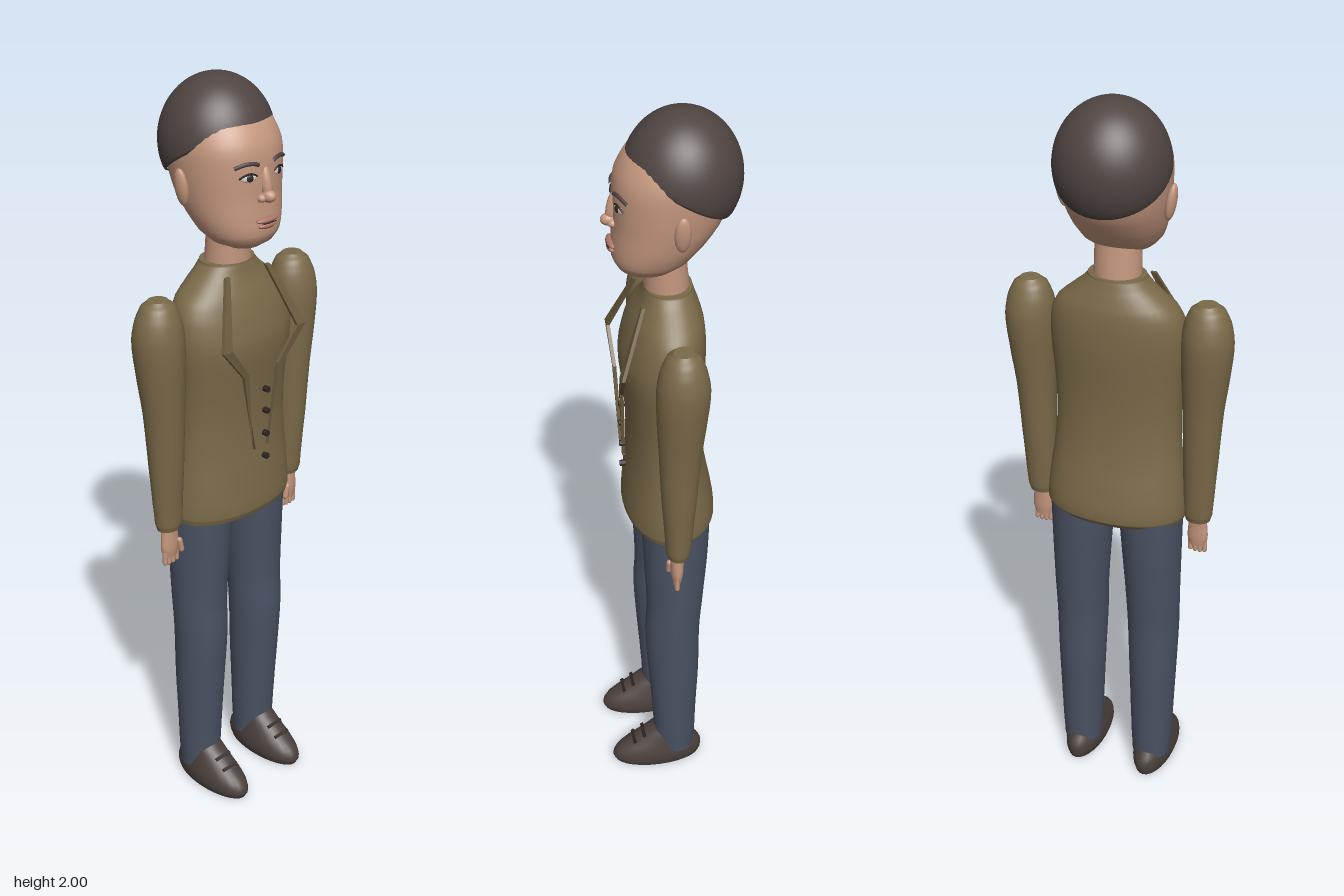
import * as THREE from 'three';

const mat = (name, color) => Object.assign(new THREE.MeshStandardMaterial({ color }), { name });

// Cubic interpolation of one number between p1 and p2
const cubic = (p0, p1, p2, p3, t) => {
  const a = (p2 - p0) / 2, b = (p3 - p1) / 2;
  return (2 * p1 - 2 * p2 + a + b) * t ** 3 + (-3 * p1 + 3 * p2 - 2 * a - b) * t * t + a * t + p1;
};

// Closed smooth body through rings [y, centreX, radiusX, frontZ, backZ], listed from low to high
function loft(rings, { sides = 32, steps = 3, power = 2 } = {}) {
  const at = i => rings[Math.max(0, Math.min(rings.length - 1, i))];
  const fine = [];
  for (let i = 0; i < rings.length - 1; i++)
    for (let s = 0; s < steps; s++)
      fine.push(at(i).map((v, k) => k === 0
        ? v + (at(i + 1)[0] - v) * s / steps
        : cubic(at(i - 1)[k], v, at(i + 1)[k], at(i + 2)[k], s / steps)));
  fine.push(at(rings.length - 1));
  const pos = [], index = [];
  const soft = v => Math.sign(v) * Math.abs(v) ** (2 / power);
  const addRing = ([y, cx, rx, zf, zb]) => {
    for (let i = 0; i < sides; i++) {
      const a = i / sides * Math.PI * 2;
      pos.push(cx + rx * soft(Math.sin(a)), y, (zf + zb) / 2 + (zf - zb) / 2 * soft(Math.cos(a)));
    }
  };
  fine.forEach(addRing);
  for (let j = 0; j < fine.length - 1; j++)
    for (let i = 0; i < sides; i++) {
      const a = j * sides + i, b = j * sides + (i + 1) % sides;
      index.push(a, b, b + sides, a, b + sides, a + sides);
    }
  // Flat end caps with their own vertices
  for (const top of [false, true]) {
    const r = top ? fine[fine.length - 1] : fine[0], start = pos.length / 3;
    addRing(r);
    pos.push(r[1], r[0], (r[3] + r[4]) / 2);
    for (let i = 0; i < sides; i++) {
      const a = start + i, b = start + (i + 1) % sides, c = start + sides;
      index.push(...(top ? [c, a, b] : [c, b, a]));
    }
  }
  const g = new THREE.BufferGeometry();
  g.setAttribute('position', new THREE.Float32BufferAttribute(pos, 3));
  g.setIndex(index);
  g.computeVertexNormals();
  return g;
}

// Hair cap: an ellipsoid that ends on a slanted hairline
function hairCap() {
  const A = 0.16, R = 0.143, slope = 0.62, cy = 1.84, cz = -0.035;
  const g = new THREE.SphereGeometry(1, 48, 24), p = g.attributes.position, uv = g.attributes.uv;
  for (let i = 0; i < p.count; i++) {
    const phi = uv.getX(i) * Math.PI * 2, B = slope * R * Math.cos(phi);
    const end = Math.acos(-0.0277 / Math.hypot(A, B)) - Math.atan2(B, A);
    const v = 1 - uv.getY(i), inner = Math.max(0, v - 0.9) * 0.8;
    const th = end * Math.min(1, v / 0.9), k = 1 - inner;
    p.setXYZ(i, R * k * Math.sin(th) * Math.sin(phi), cy + A * k * Math.cos(th), cz + R * k * Math.sin(th) * Math.cos(phi));
  }
  // The azimuth runs from front to +x, opposite to the sphere's own order
  g.computeVertexNormals();
  return g;
}

export function createModel() {
  const model = new THREE.Group();
  const skin = mat('skin', 0xc4977e), hair = mat('hair', 0x4f4542), coat = mat('coat', 0x7b6a49);
  const lapelMat = mat('lapel', 0x6d5d40), denim = mat('trousers', 0x4a5263), leather = mat('shoe leather', 0x4b413d);
  const dark = mat('dark detail', 0x2e2624), white = mat('eye white', 0xd8cfc6), lip = mat('lips', 0xad7768);

  const add = (name, geo, material, x = 0, y = 0, z = 0, parent = model) => {
    const m = new THREE.Mesh(geo, material);
    m.name = name;
    m.position.set(x, y, z);
    parent.add(m);
    return m;
  };
  const blob = (name, material, x, y, z, rx, ry, rz) => {
    const m = add(name, new THREE.SphereGeometry(1, 20, 14), material, x, y, z);
    m.scale.set(rx, ry, rz);
    return m;
  };

  // Head and neck
  add('neck', loft([[1.5, 0, 0.062, 0.058, -0.056], [1.58, 0, 0.06, 0.058, -0.05], [1.67, 0, 0.06, 0.06, -0.042]]), skin);
  add('head', loft([
    [1.6, 0, 0.045, 0.1, 0.01], [1.615, 0, 0.077, 0.122, -0.02], [1.64, 0, 0.1, 0.135, -0.055],
    [1.68, 0, 0.116, 0.135, -0.09], [1.73, 0, 0.127, 0.131, -0.125], [1.79, 0, 0.134, 0.131, -0.148],
    [1.85, 0, 0.135, 0.126, -0.16], [1.9, 0, 0.118, 0.1, -0.15], [1.94, 0, 0.08, 0.06, -0.11],
  ], { power: 2.15, sides: 40 }), skin);
  add('hair', hairCap(), hair);

  // Face
  blob('noseBridge', skin, 0, 1.768, 0.13, 0.014, 0.045, 0.015).rotation.x = -0.2;
  blob('noseTip', skin, 0, 1.737, 0.138, 0.016, 0.016, 0.022);
  blob('upperLip', lip, 0, 1.678, 0.135, 0.034, 0.008, 0.012);
  blob('lowerLip', lip, 0, 1.665, 0.135, 0.028, 0.009, 0.012);
  blob('mouthLine', dark, 0, 1.672, 0.144, 0.026, 0.0015, 0.003);
  for (const s of [1, -1]) {
    blob('nostril', skin, s * 0.016, 1.733, 0.132, 0.011, 0.01, 0.012);
    blob('eyeWhite', white, s * 0.05, 1.787, 0.122, 0.021, 0.01, 0.005).rotation.y = s * 0.35;
    blob('iris', dark, s * 0.049, 1.787, 0.126, 0.009, 0.009, 0.0035).rotation.y = s * 0.35;
    const lid = new THREE.QuadraticBezierCurve3(
      new THREE.Vector3(s * 0.028, 1.789, 0.128), new THREE.Vector3(s * 0.05, 1.807, 0.13), new THREE.Vector3(s * 0.073, 1.787, 0.114));
    add('eyelid', new THREE.TubeGeometry(lid, 10, 0.0025, 6), dark);
    const brow = new THREE.QuadraticBezierCurve3(
      new THREE.Vector3(s * 0.024, 1.815, 0.129), new THREE.Vector3(s * 0.05, 1.829, 0.128), new THREE.Vector3(s * 0.082, 1.812, 0.106));
    add('eyebrow', new THREE.TubeGeometry(brow, 12, 0.005, 8), hair);
    const ear = blob('ear', skin, s * 0.139, 1.755, -0.012, 0.013, 0.048, 0.02);
    ear.rotation.z = -s * 0.16;
  }

  // Jacket body
  add('jacket', loft([
    [0.868, 0, 0.186, 0.115, -0.106], [0.885, 0, 0.191, 0.121, -0.118], [0.95, 0, 0.187, 0.117, -0.111],
    [1.05, 0, 0.174, 0.108, -0.092], [1.15, 0, 0.167, 0.106, -0.083], [1.25, 0, 0.171, 0.113, -0.084],
    [1.35, 0, 0.18, 0.122, -0.09], [1.42, 0, 0.177, 0.108, -0.09], [1.47, 0, 0.157, 0.09, -0.085],
    [1.51, 0, 0.112, 0.071, -0.073], [1.54, 0, 0.08, 0.061, -0.063], [1.55, 0, 0.074, 0.058, -0.06],
  ], { power: 2.15, sides: 40 }), coat);
  for (const y of [1.03, 1.095, 1.16, 1.22])
    add('button', new THREE.CylinderGeometry(0.008, 0.008, 0.014, 12).rotateX(Math.PI / 2), dark, 0.02, y, 0.122);

  // Lapel strips, bent to the chest by height
  const bend = [[1.06, 0.114], [1.28, 0.122], [1.37, 0.128], [1.53, 0.066]];
  const bendZ = y => {
    let i = 0;
    while (i < 2 && y > bend[i + 1][0]) i++;
    const [[y0, z0], [y1, z1]] = [bend[i], bend[i + 1]];
    return z0 + (z1 - z0) * (y - y0) / (y1 - y0);
  };
  for (const s of [1, -1]) {
    const outline = [[0.076, 1.53], [0.145, 1.37], [0.068, 1.28], [0.018, 1.06], [0.028, 1.06], [0.052, 1.285], [0.115, 1.37], [0.062, 1.53]];
    if (s > 0) outline.reverse();
    const g = new THREE.ExtrudeGeometry(new THREE.Shape(outline.map(([x, y]) => new THREE.Vector2(s * x, y))), { depth: 0.009, bevelEnabled: false });
    const p = g.attributes.position;
    for (let i = 0; i < p.count; i++) p.setZ(i, p.getZ(i) + bendZ(p.getY(i)));
    g.computeVertexNormals();
    add('lapel', g, lapelMat);
  }

  for (const s of [1, -1]) {
    const side = (rings) => rings.map(([y, cx, ...r]) => [y, s * cx, ...r]);

    // Sleeve
    add('sleeve', loft(side([
      [0.868, 0.222, 0.033, 0.038, -0.016], [0.885, 0.222, 0.038, 0.043, -0.021], [0.94, 0.223, 0.041, 0.046, -0.026],
      [1.05, 0.225, 0.046, 0.054, -0.035], [1.2, 0.228, 0.053, 0.061, -0.045], [1.32, 0.233, 0.063, 0.067, -0.058],
      [1.4, 0.236, 0.066, 0.067, -0.063], [1.45, 0.235, 0.059, 0.058, -0.054], [1.485, 0.234, 0.044, 0.043, -0.04],
      [1.5, 0.234, 0.026, 0.026, -0.024],
    ]), { sides: 28 }), coat);

    // Hand with fingers and thumb
    add('hand', loft(side([
      [0.785, 0.222, 0.021, 0.026, 0.002], [0.81, 0.222, 0.028, 0.03, -0.002],
      [0.845, 0.222, 0.026, 0.03, -0.004], [0.89, 0.222, 0.022, 0.03, -0.008],
    ]), { sides: 16 }), skin);
    for (let i = 0; i < 4; i++)
      add('finger', new THREE.CapsuleGeometry(0.0068, 0.032, 4, 8), skin, s * (0.202 + i * 0.0132), 0.786 - (i % 3 ? 0.003 : 0), 0.016);
    add('thumb', new THREE.CapsuleGeometry(0.008, 0.03, 4, 8), skin, s * 0.2, 0.815, 0.03).rotation.z = s * -0.2;

    // Trouser leg
    add('trouserLeg', loft(side([
      [0.05, 0.106, 0.054, 0.052, -0.058], [0.12, 0.106, 0.058, 0.058, -0.061], [0.2, 0.106, 0.061, 0.062, -0.063],
      [0.35, 0.106, 0.066, 0.072, -0.069], [0.5, 0.105, 0.071, 0.08, -0.07], [0.6, 0.104, 0.074, 0.075, -0.077],
      [0.75, 0.1, 0.08, 0.081, -0.089], [0.9, 0.096, 0.086, 0.086, -0.095],
    ])), denim);

    // Shoe with laces
    add('shoe', loft(side([
      [0, 0.105, 0.05, 0.172, -0.074], [0.018, 0.105, 0.056, 0.18, -0.08], [0.045, 0.105, 0.056, 0.166, -0.078],
      [0.075, 0.105, 0.05, 0.125, -0.058], [0.105, 0.105, 0.043, 0.085, -0.04], [0.128, 0.105, 0.036, 0.056, -0.02],
    ]), { sides: 28 }), leather);
    for (const [y, z] of [[0.078, 0.118], [0.1, 0.09]])
      add('lace', new THREE.BoxGeometry(0.052, 0.006, 0.009), dark, s * 0.105, y, z).rotation.x = 0.6;
  }
  return model;
}
